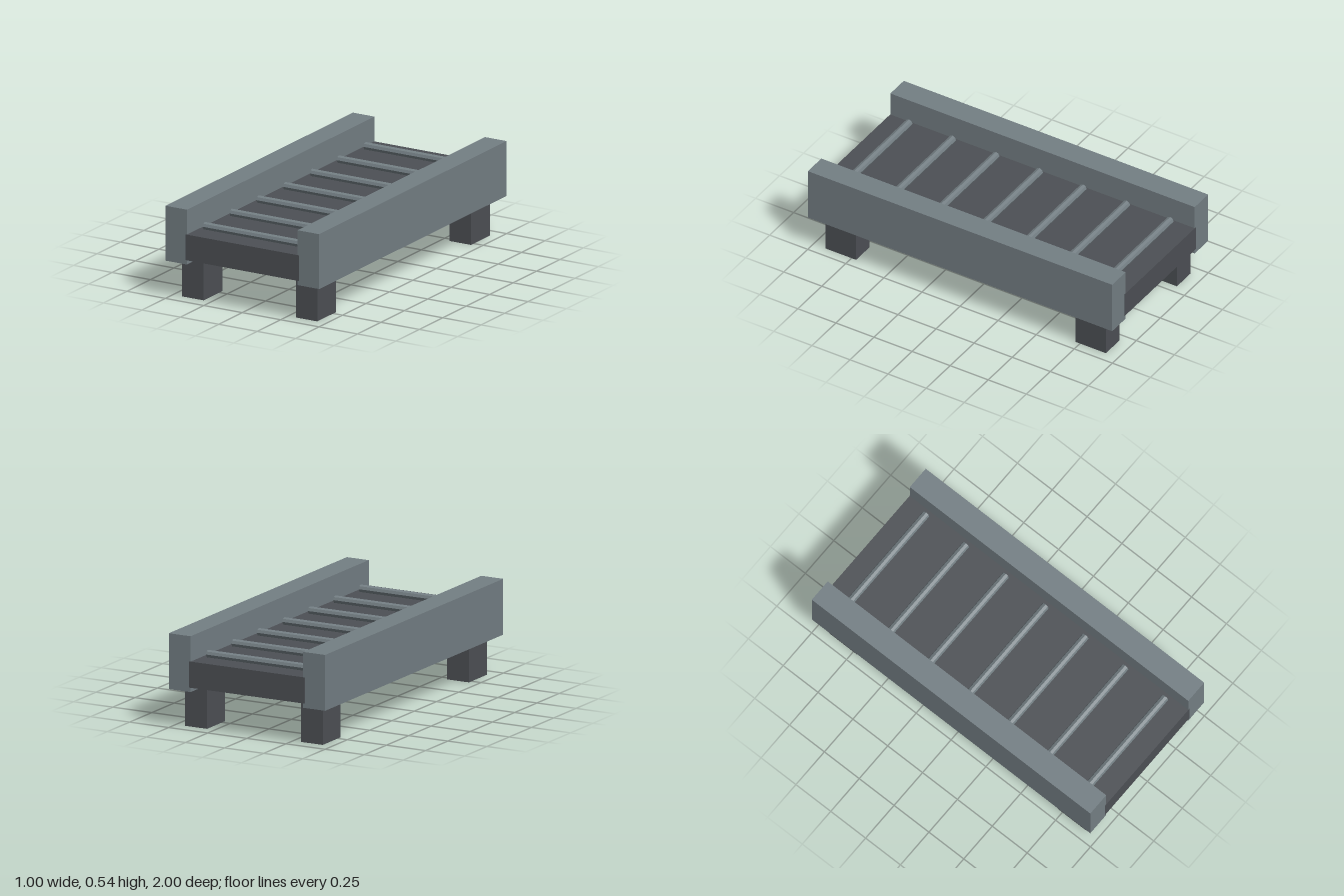
import * as THREE from 'three';

export function createModel() {
  const model = new THREE.Group();
  model.name = 'rollerConveyor';

  const frameGrey = new THREE.MeshStandardMaterial({ name: 'frameGrey', color: 0x747f84 });
  const darkGrey = new THREE.MeshStandardMaterial({ name: 'darkGrey', color: 0x4d5055 });
  const rollerGrey = frameGrey.clone();
  rollerGrey.flatShading = true;

  const add = (name, geometry, material, x, y, z) => {
    const mesh = new THREE.Mesh(geometry, material);
    mesh.name = name;
    mesh.position.set(x, y, z);
    model.add(mesh);
    return mesh;
  };

  // Bed between the rails, a hair longer so its end faces show
  add('bed', new THREE.BoxGeometry(0.74, 0.15, 2), darkGrey, 0, 0.32, 0);

  // Side rails and the legs under them
  const railGeometry = new THREE.BoxGeometry(0.14, 0.32, 1.998);
  const legGeometry = new THREE.BoxGeometry(0.14, 0.26, 0.2);
  for (const side of [-1, 1]) {
    const label = side > 0 ? 'left' : 'right';
    add(label + 'Rail', railGeometry, frameGrey, side * 0.43, 0.38, 0);
    for (const end of [-1, 1]) {
      add(label + (end > 0 ? 'FrontLeg' : 'BackLeg'), legGeometry, darkGrey, side * 0.37, 0.13, end * 0.82);
    }
  }

  // Evenly spaced faceted rollers, partly sunk into the bed
  const rollerGeometry = new THREE.CylinderGeometry(0.0225, 0.0225, 0.66, 8).rotateZ(Math.PI / 2);
  for (let i = -3; i <= 3; i++) {
    add('roller' + (i + 4), rollerGeometry, rollerGrey, 0, 0.413, (i * 2) / 7);
  }

  return model;
}
